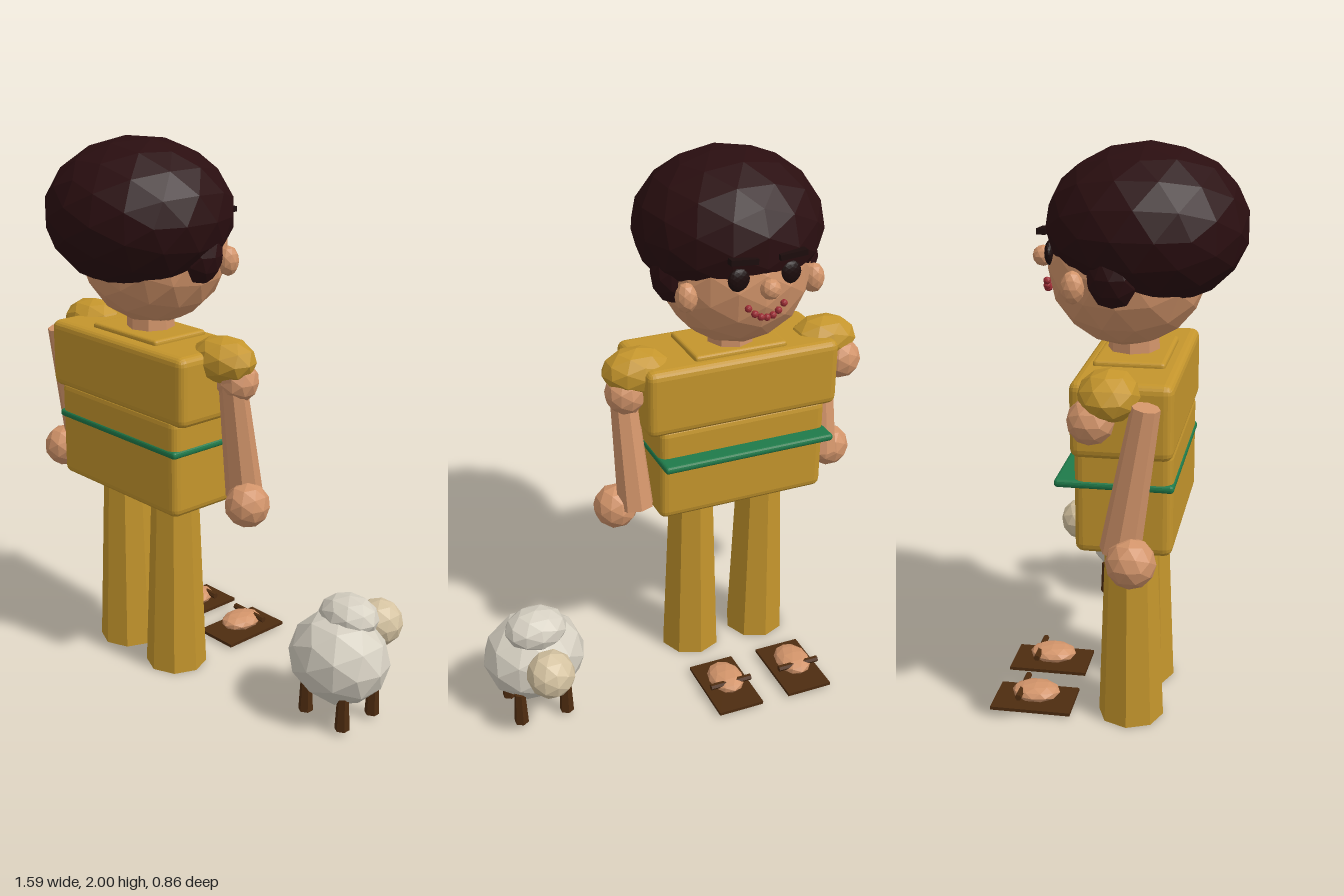
import * as THREE from 'three';
import { RoundedBoxGeometry } from 'three/addons/geometries/RoundedBoxGeometry.js';

const mat = (name, color) => {
  const m = new THREE.MeshStandardMaterial({ color, flatShading: true });
  m.name = name;
  return m;
};

export function createModel() {
  const hair = mat('dark hair', 0x2a0e10);
  const skin = mat('skin', 0xd2946a);
  const cloth = mat('mustard cloth', 0xc4952c);
  const green = mat('green belt', 0x1f7a4a);
  const brown = mat('brown leather', 0x4e2c10);
  const dark = mat('eye dark', 0x1c0c0c);
  const red = mat('lip red', 0x9c2c34);
  const wool = mat('wool', 0xd6d0c2);
  const cream = mat('cream face', 0xd6c4a2);

  const model = new THREE.Group();
  const person = new THREE.Group();
  person.name = 'person';
  person.position.x = -0.24;
  const sheep = new THREE.Group();
  sheep.name = 'sheep';
  sheep.position.x = 0.6;
  model.add(person, sheep);

  const add = (parent, name, geo, material, x, y, z) => {
    const m = new THREE.Mesh(geo, material);
    m.name = name;
    m.position.set(x, y, z);
    parent.add(m);
    return m;
  };
  // faceted ellipsoid
  const blob = (parent, name, material, x, y, z, rx, ry = rx, rz = rx, detail = 1) =>
    add(parent, name, new THREE.IcosahedronGeometry(1, detail).scale(rx, ry, rz), material, x, y, z);
  // softened box
  const box = (name, material, x, y, z, w, h, d, r) =>
    add(person, name, new RoundedBoxGeometry(w, h, d, 2, r), material, x, y, z);
  // tapered limb between two points
  const limb = (name, material, top, bottom, rTop, rBottom, sides) => {
    const a = new THREE.Vector3(...top), b = new THREE.Vector3(...bottom);
    const dir = a.clone().sub(b);
    const mid = a.clone().add(b).multiplyScalar(0.5);
    const m = add(person, name, new THREE.CylinderGeometry(rTop, rBottom, dir.length(), sides),
      material, mid.x, mid.y, mid.z);
    m.quaternion.setFromUnitVectors(new THREE.Vector3(0, 1, 0), dir.normalize());
  };

  // head and hair; the face looks toward -z
  blob(person, 'head', skin, 0, 1.6, 0.03, 0.27, 0.27, 0.268, 2);
  blob(person, 'hair', hair, 0, 1.735, 0.095, 0.34, 0.268, 0.338, 2);
  blob(person, 'nose', skin, 0, 1.62, -0.258, 0.036);
  for (const s of [-1, 1]) {
    blob(person, 'sideHair', hair, s * 0.225, 1.61, 0.02, 0.09, 0.11, 0.09);
    blob(person, 'ear', skin, s * 0.24, 1.57, -0.11, 0.04, 0.055, 0.04);
    blob(person, 'eye', dark, s * 0.095, 1.65, -0.212, 0.04, 0.042, 0.018, 2);
    const brow = add(person, 'eyebrow', new THREE.BoxGeometry(0.1, 0.02, 0.03), dark, s * 0.09, 1.722, -0.232);
    brow.rotation.z = s * 0.08;
  }
  // beaded smile
  for (let i = -3; i <= 3; i++) {
    blob(person, 'mouthBead', red, i * 0.022, 1.512 + 0.0042 * i * i, -0.24 + 0.001 * i * i, 0.013);
  }

  // neck and torso
  add(person, 'neck', new THREE.CylinderGeometry(0.085, 0.09, 0.12, 8), skin, 0, 1.32, 0.05);
  box('collar', cloth, 0, 1.295, 0.06, 0.36, 0.04, 0.24, 0.012);
  box('chest', cloth, 0, 1.17, 0.065, 0.75, 0.255, 0.335, 0.03);
  box('waist', cloth, 0, 0.88, 0.065, 0.66, 0.37, 0.325, 0.03);
  box('belt', green, 0, 0.938, 0.035, 0.67, 0.028, 0.395, 0.012);

  // arms and sleeves; the right arm hangs a little further back
  for (const s of [-1, 1]) {
    const back = s < 0 ? 0.11 : 0;
    blob(person, 'sleeve', cloth, s * 0.37, 1.262, 0.03, 0.13, 0.085, 0.102);
    blob(person, 'shoulder', skin, s * 0.42, 1.19, s < 0 ? -0.02 : 0.01, 0.077);
    limb('arm', skin, [s * 0.424, 1.245, 0.045 + back], [s * 0.408, 0.75, -0.04 + back], 0.047, 0.068, 8);
    blob(person, 'hand', skin, s * 0.47, 0.738, 0.005 + back, 0.083);

    // trouser leg
    limb('trouserLeg', cloth, [s * 0.143, 0.672, 0.063], [s * 0.143, 0, 0.063], 0.09, 0.116, 8);

    // sandal and foot
    add(person, 'sandalSole', new THREE.BoxGeometry(0.178, 0.012, 0.29), brown, s * 0.143, 0.014, -0.29);
    blob(person, 'foot', skin, s * 0.143, 0.05, -0.285, 0.067, 0.032, 0.088);
    const strap = add(person, 'sandalStrap', new THREE.CylinderGeometry(0.012, 0.012, 0.165, 6), brown,
      s * 0.143, 0.062, -0.332);
    strap.rotation.z = Math.PI / 2;
  }

  // sheep
  blob(sheep, 'sheepBody', wool, 0, 0.243, -0.097, 0.192, 0.168, 0.168);
  blob(sheep, 'woolTuft', wool, 0, 0.39, -0.142, 0.116, 0.076, 0.096);
  blob(sheep, 'sheepHead', cream, 0, 0.305, -0.31, 0.088);
  for (const x of [-0.088, 0.088]) {
    for (const z of [-0.027, -0.187]) {
      add(sheep, 'sheepLeg', new THREE.CylinderGeometry(0.021, 0.027, 0.13, 6), brown, x, 0.082, z);
    }
  }
  return model;
}
